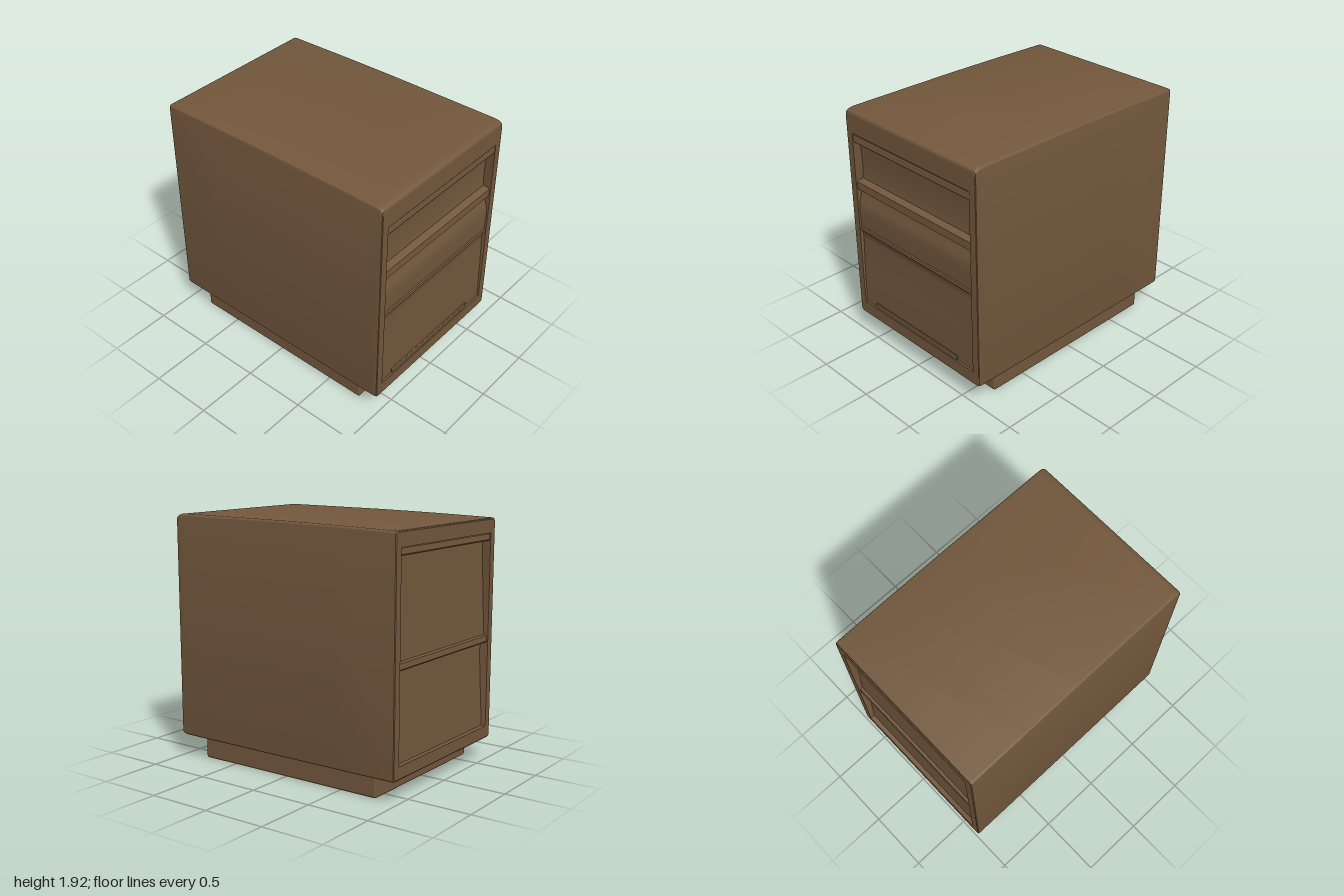
import * as THREE from 'three';
import { toCreasedNormals } from 'three/addons/utils/BufferGeometryUtils.js';
import { RoundedBoxGeometry } from 'three/addons/geometries/RoundedBoxGeometry.js';

const brown = new THREE.MeshStandardMaterial({ color: 0x73583d });
brown.name = 'brown';

function addMesh(parent, name, geometry) {
  const mesh = new THREE.Mesh(geometry, brown);
  mesh.name = name;
  parent.add(mesh);
  return mesh;
}

function box(parent, name, size, pos, radius) {
  const mesh = addMesh(parent, name, new RoundedBoxGeometry(...size, 2, radius));
  mesh.position.set(...pos);
}

// Skin over a list of cross-sections with equal point counts
function loft(sections, closed, crease) {
  const n = sections[0].length;
  const index = [];
  for (let i = 0; i < sections.length - 1; i++) {
    for (let j = 0; j < (closed ? n : n - 1); j++) {
      const a = i * n + j, b = i * n + (j + 1) % n;
      index.push(a, b, b + n, a, b + n, a + n);
    }
  }
  const g = new THREE.BufferGeometry();
  g.setAttribute('position', new THREE.Float32BufferAttribute(sections.flat(2), 3));
  g.setIndex(index);
  return toCreasedNormals(g, crease);
}

// Rounded rectangle loop at depth z, counter-clockwise from the front
function rectLoop(z, halfWidth, low, high, r) {
  const steps = 4;
  const points = [];
  const corners = [[1, high - r], [-1, high - r], [-1, low + r], [1, low + r]];
  corners.forEach(([side, cy], k) => {
    for (let s = 0; s <= steps; s++) {
      const a = (k + s / steps) * Math.PI / 2;
      points.push([side * (halfWidth - r) + r * Math.cos(a), cy + r * Math.sin(a), z]);
    }
  });
  return points;
}

// Panel front: a [z, y] side profile, bottom to top, swept across the opening
function panel(parent, name, profile) {
  const w = 0.625, back = 0.9;
  const outline = [[back, profile[0][1]], ...profile, [back, profile[profile.length - 1][1]]];
  const sections = outline.map(([z, y]) => [[-w, y, z], [w, y, z]]);
  addMesh(parent, name, loft(sections, false, 0.5));
}

export function createModel() {
  const model = new THREE.Group();
  model.name = 'filingCabinet';

  // Case: from the back recess, round the outside, into the front recess
  const sections = [
    [-0.9, 0.625, 0.27, 1.785, 0.005],
    [-1, 0.625, 0.27, 1.785, 0.005],
    [-1, 0.685, 0.18, 1.888, 0.02],
    [-0.994, 0.69, 0.172, 1.895, 0.02],
    [-0.98, 0.691, 0.169, 1.898, 0.02],
    [-0.5, 0.691, 0.169, 1.91, 0.02],
    [0, 0.691, 0.169, 1.918, 0.02],
    [0.93, 0.691, 0.169, 1.923, 0.025],
    [0.965, 0.691, 0.17, 1.919, 0.025],
    [0.985, 0.691, 0.173, 1.912, 0.025],
    [0.996, 0.689, 0.177, 1.903, 0.025],
    [1, 0.684, 0.184, 1.89, 0.025],
    [1, 0.625, 0.28, 1.74, 0.005],
    [0.9, 0.625, 0.28, 1.74, 0.005],
  ];
  addMesh(model, 'case', loft(sections.map((s) => rectLoop(...s)), true, 0.2));

  // Recessed plinth
  box(model, 'plinth', [1.275, 0.175, 1.615], [-0.003, 0.0875, -0.008], 0.018);

  // Drawer fronts, each with a projecting pull lip
  const drawers = new THREE.Group();
  drawers.name = 'drawers';
  model.add(drawers);
  panel(drawers, 'topDrawer', [
    [0.98, 1.279], [0.99, 1.283], [0.988, 1.343], [0.965, 1.352], [0.935, 1.358],
    [0.928, 1.42], [0.93, 1.55], [0.938, 1.662],
    [0.99, 1.667], [0.997, 1.68], [0.993, 1.73], [0.975, 1.738],
  ]);
  panel(drawers, 'middleDrawer', [
    [0.982, 0.965], [0.986, 1.08], [0.986, 1.14], [0.98, 1.18],
    [0.965, 1.22], [0.955, 1.279],
  ]);
  panel(drawers, 'bottomDrawer', [
    [0.985, 0.283], [0.98, 0.6], [0.97, 0.86], [0.972, 0.9],
    [0.984, 0.925], [0.993, 0.938], [0.99, 0.958], [0.982, 0.965],
  ]);
  box(drawers, 'bottomRail', [0.95, 0.042, 0.03], [-0.025, 0.303, 0.979], 0.005);

  // Back panels, shaped the same way and turned round, leaning out at the foot
  const rear = new THREE.Group();
  rear.name = 'backPanels';
  rear.rotation.y = Math.PI;
  model.add(rear);
  for (const [name, low, high] of [['lowerBackPanel', 0.272, 1], ['upperBackPanel', 1, 1.785]]) {
    panel(rear, name, [
      [0.965, low], [0.95, low + 0.25], [0.935, high - 0.2], [0.932, high - 0.068],
      [0.984, high - 0.06], [0.99, high - 0.05], [0.986, high - 0.008], [0.968, high],
    ]);
  }
  return model;
}
